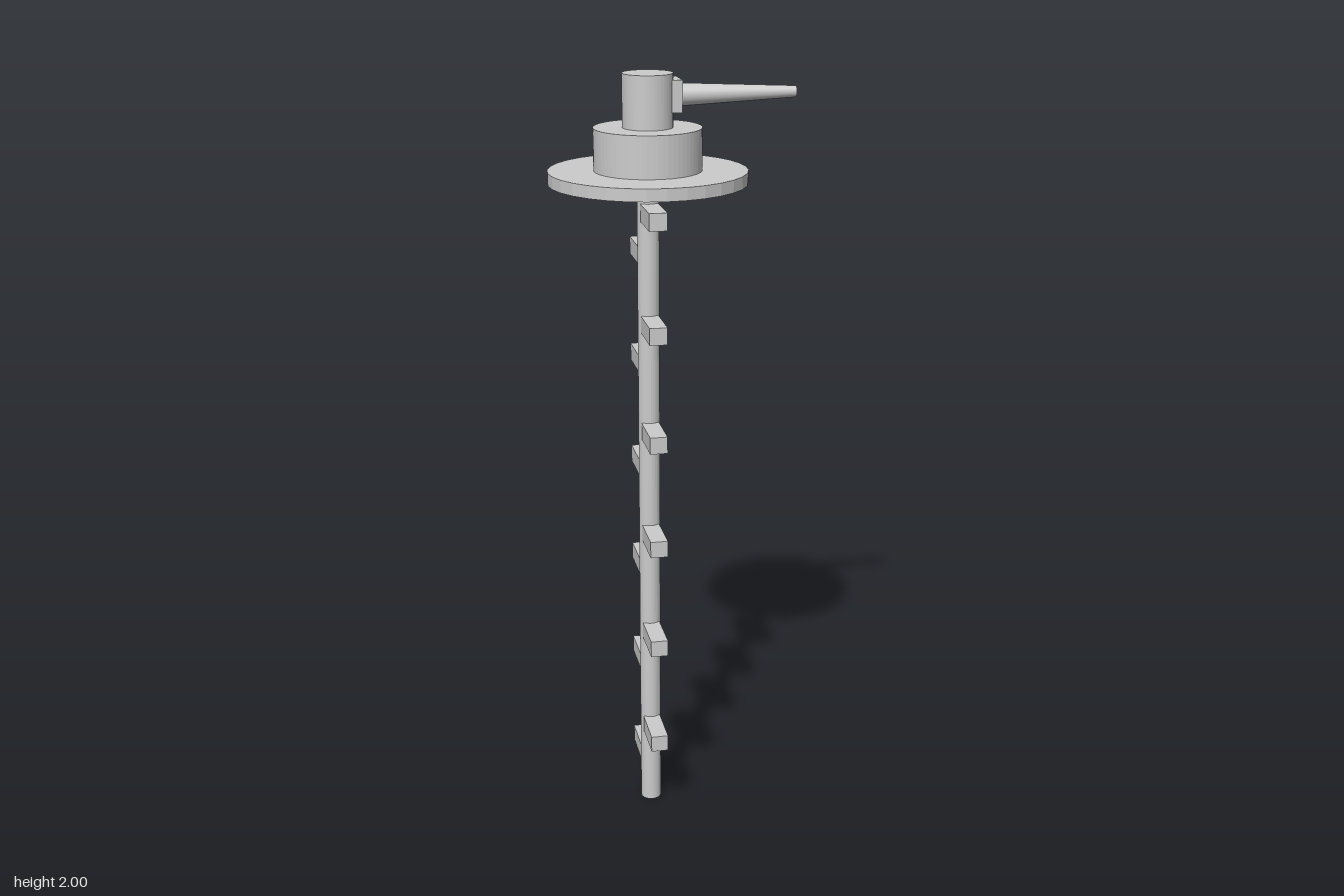
import * as THREE from 'three';

const AXIS_X = -0.063;

export function createModel() {
  const model = new THREE.Group();
  const smooth = new THREE.MeshStandardMaterial({ color: 0xcccccc });
  const faceted = new THREE.MeshStandardMaterial({ color: 0xcccccc, flatShading: true });

  const add = (name, geometry, material, x, y, z) => {
    const mesh = new THREE.Mesh(geometry, material);
    mesh.name = name;
    mesh.position.set(x, y, z);
    model.add(mesh);
    return mesh;
  };

  // Upright cylinder on the main axis, given by its bottom and top heights
  const drum = (name, radius, y0, y1, sides) =>
    add(name, new THREE.CylinderGeometry(radius, radius, y1 - y0, sides), faceted, AXIS_X, (y0 + y1) / 2, 0);

  // Stem and stacked head
  drum('stem', 0.0275, 0, 1.74, 32);
  drum('flange', 0.248, 1.735, 1.766, 32);
  drum('collar', 0.134, 1.766, 1.87, 64);
  drum('cap', 0.0625, 1.87, 2, 64);

  // Side lever: mounting block and tapered handle pointing to +x
  add('leverMount', new THREE.BoxGeometry(0.06, 0.078, 0.078), faceted, -0.012, 1.945, -0.009);
  const lever = add('lever', new THREE.CylinderGeometry(0.014, 0.028, 0.292, 32), smooth, 0.164, 1.945, -0.008);
  lever.rotation.z = -Math.PI / 2;

  // Pegs staggered up the stem, alternating front and back
  const pegGeometry = new THREE.BoxGeometry(0.045, 0.044, 0.118);
  for (let i = 0; i < 6; i++) {
    add('frontPeg', pegGeometry, faceted, AXIS_X - 0.001, 0.239 + i * 0.285, 0.08);
    add('backPeg', pegGeometry, faceted, AXIS_X - 0.001, 0.125 + i * 0.285, -0.075);
  }
  return model;
}
